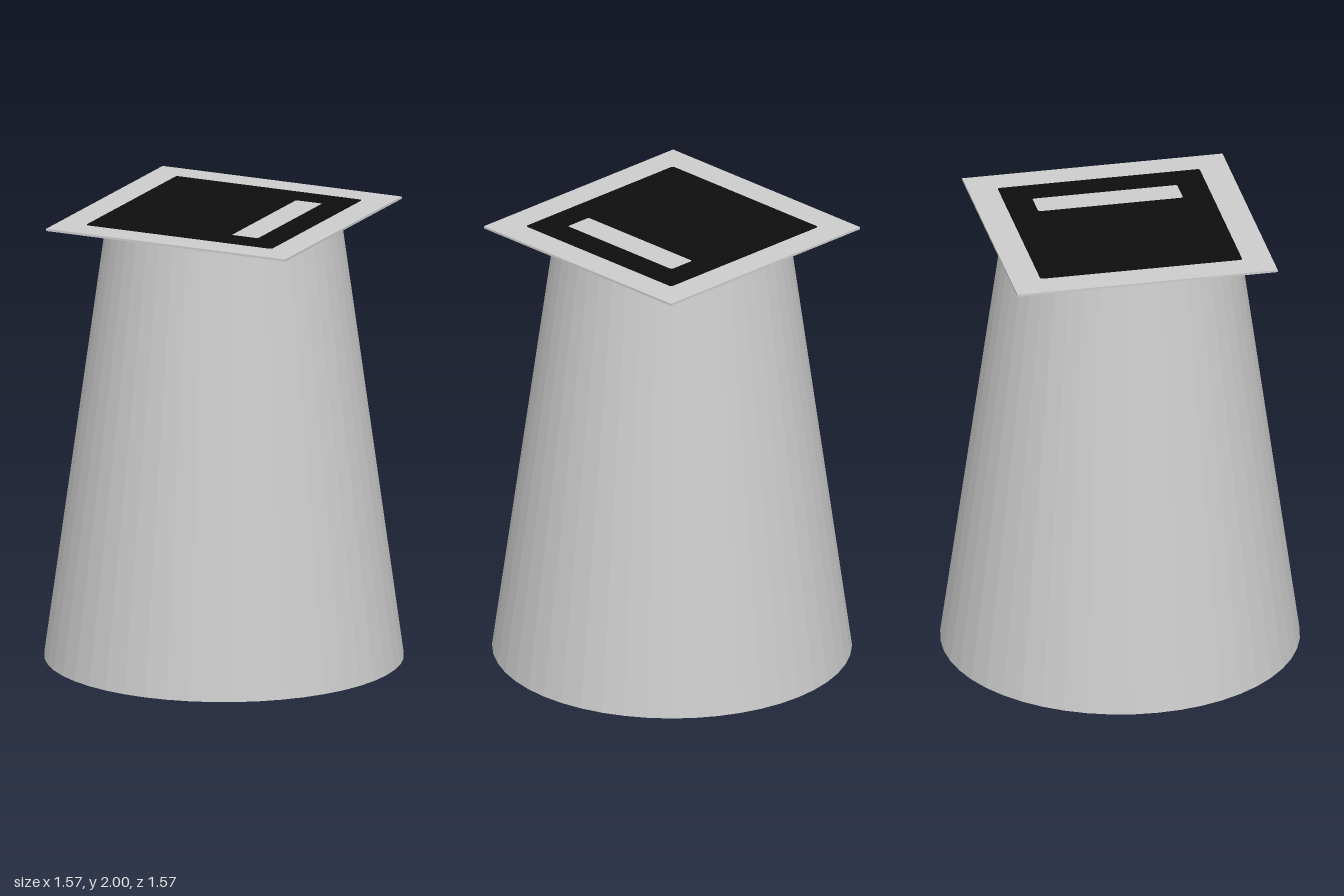
import * as THREE from 'three';

const grey = new THREE.MeshStandardMaterial({ color: 0xcccccc });
grey.name = 'light grey';
grey.side = THREE.DoubleSide;
grey.flatShading = true;
const black = new THREE.MeshStandardMaterial({ color: 0x0d0d0d });
black.name = 'black';

// Rectangle with slightly rounded corners, as a shape or a hole
function roundedRect(path, x0, y0, x1, y1, r) {
  path.moveTo(x0 + r, y0);
  path.lineTo(x1 - r, y0).quadraticCurveTo(x1, y0, x1, y0 + r);
  path.lineTo(x1, y1 - r).quadraticCurveTo(x1, y1, x1 - r, y1);
  path.lineTo(x0 + r, y1).quadraticCurveTo(x0, y1, x0, y1 - r);
  path.lineTo(x0, y0 + r).quadraticCurveTo(x0, y0, x0 + r, y0);
  return path;
}

export function createModel() {
  const model = new THREE.Group();
  const add = (name, geometry, material, y) => {
    const mesh = new THREE.Mesh(geometry, material);
    mesh.name = name;
    mesh.position.y = y;
    model.add(mesh);
  };

  // Hollow tapered body, open at the bottom
  const bodyHeight = 1.988;
  add('body', new THREE.CylinderGeometry(0.51, 0.785, bodyHeight, 48, 1, true), grey, bodyHeight / 2);

  // Thin square plate on top
  add('topPlate', new THREE.BoxGeometry(1.16, 0.01, 1.16), grey, 1.993);

  // Black panel set through the plate, with a slot that leaves the plate visible
  const panel = roundedRect(new THREE.Shape(), -0.45, -0.45, 0.45, 0.45, 0.012);
  panel.holes.push(roundedRect(new THREE.Path(), 0.192, -0.323, 0.322, 0.323, 0.012));
  const panelGeometry = new THREE.ExtrudeGeometry(panel, { depth: 0.017, bevelEnabled: false, curveSegments: 4 });
  panelGeometry.rotateX(-Math.PI / 2);
  add('blackPanel', panelGeometry, black, 1.983);

  return model;
}
